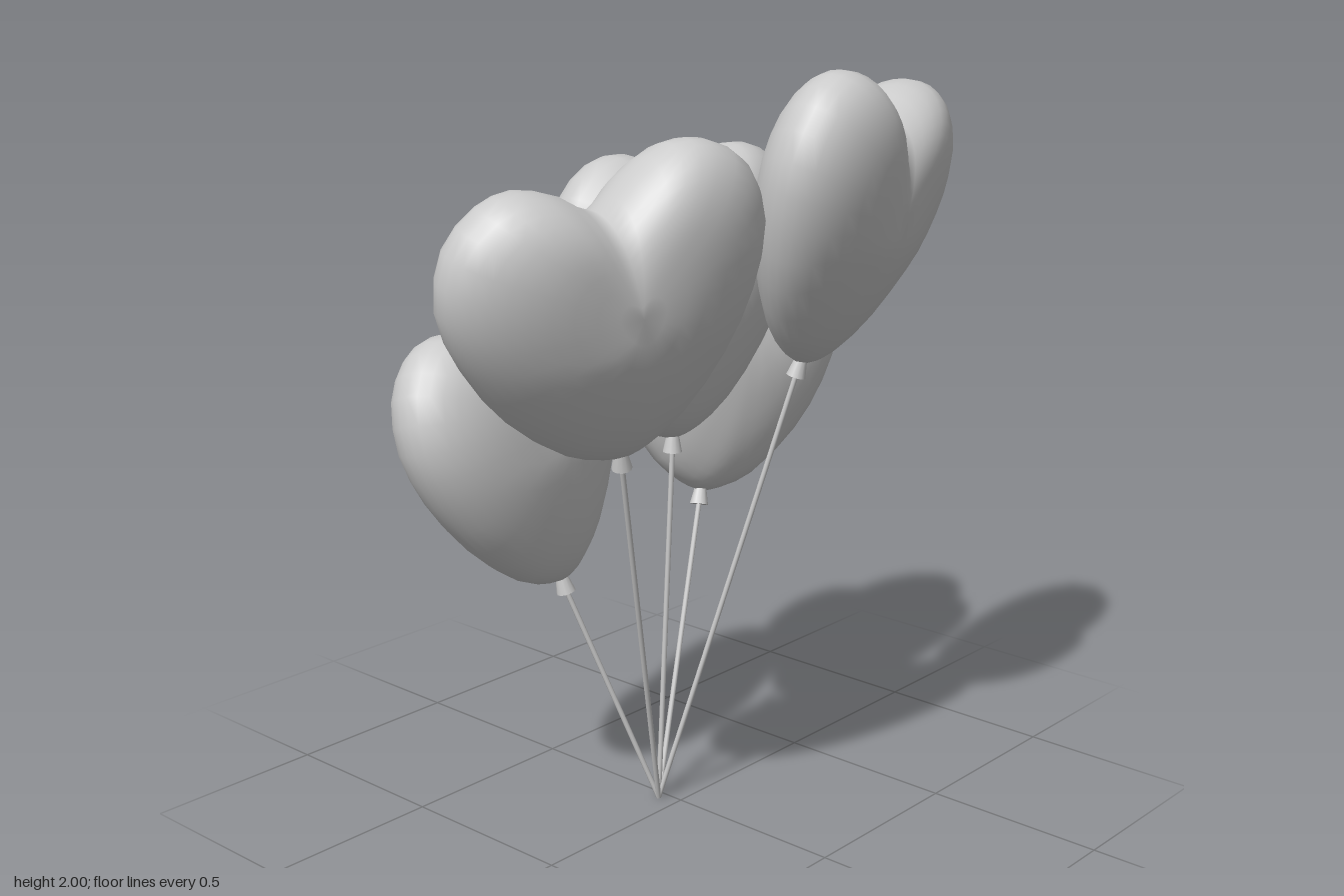
import * as THREE from 'three';

const material = new THREE.MeshStandardMaterial({ color: 0xcccccc });
const TIE = new THREE.Vector3(-0.055, 0, 0.03);

// Right half of the heart outline, tip at the origin, notch last
const HALF = [[0.06, 0.008], [0.16, 0.06], [0.295, 0.2], [0.385, 0.36], [0.427, 0.52],
  [0.39, 0.66], [0.295, 0.738], [0.2, 0.752], [0.09, 0.705]];

// Puffed heart: outline rings shrinking towards the middle of each side
function heartGeometry(around = 40, rings = 22) {
  const outline = [[0, -0.005], ...HALF, [0, 0.64], ...HALF.map(([x, y]) => [-x, y]).reverse()];
  const curve = new THREE.CatmullRomCurve3(outline.map(([x, y]) => new THREE.Vector3(x, y, 0)), true);
  const cy = 0.44;
  const positions = [], index = [];
  for (let i = 0; i <= rings; i++) {
    const phi = (i / rings) * Math.PI;
    const s = Math.sin(phi);
    for (let j = 0; j < around; j++) {
      const p = curve.getPoint(j / around);
      const x = p.x * s, y = cy + (p.y - cy) * s;
      // Thinner towards the tip, with a shallow valley below the notch
      const taper = 0.75 + 0.25 * Math.min(1, Math.max(0, y) / 0.35);
      const valley = 1 - 0.15 * Math.exp(-((x / 0.12) ** 2)) * THREE.MathUtils.smoothstep(y, 0.35, 0.6);
      const dome = Math.sqrt(Math.max(0, 1 - s ** 2.6));
      positions.push(x, y, Math.sign(rings / 2 - i) * 0.172 * dome * taper * valley);
    }
  }
  for (let i = 0; i < rings; i++) {
    for (let j = 0; j < around; j++) {
      const a = i * around + j, b = i * around + (j + 1) % around;
      const c = a + around, d = b + around;
      if (i > 0) index.push(a, c, b);
      if (i < rings - 1) index.push(b, c, d);
    }
  }
  const geometry = new THREE.BufferGeometry();
  geometry.setAttribute('position', new THREE.Float32BufferAttribute(positions, 3));
  geometry.setIndex(index);
  geometry.computeVertexNormals();
  // The pole vertices coincide, so give them the plain side normal
  const normal = geometry.attributes.normal;
  for (let j = 0; j < around; j++) {
    normal.setXYZ(j, 0, 0, 1);
    normal.setXYZ(rings * around + j, 0, 0, -1);
  }
  return geometry;
}

function part(name, geometry) {
  const mesh = new THREE.Mesh(geometry, material);
  mesh.name = name;
  return mesh;
}

// Straight string between two points
function makeString(from, to) {
  const dir = to.clone().sub(from);
  const mesh = part('string', new THREE.CylinderGeometry(0.007, 0.007, dir.length(), 8));
  mesh.position.copy(from).addScaledVector(dir, 0.5);
  mesh.quaternion.setFromUnitVectors(new THREE.Vector3(0, 1, 0), dir.normalize());
  return mesh;
}

// tip: lowest point of the heart, lean: x and z tilt, facing: x and z of the lobe direction
const BALLOONS = [
  { name: 'centreBalloon', tip: [-0.055, 1.025, -0.03], lean: [0, -0.03], facing: [0, 1] },
  { name: 'frontLeftBalloon', tip: [0.13, 1.1, 0.365], lean: [0.155, 0.26], facing: [-0.26, 0.83] },
  { name: 'backLeftBalloon', tip: [0.217, 1.237, -0.223], lean: [0.2, -0.2], facing: [0.22, 0.83] },
  { name: 'backRightBalloon', tip: [-0.215, 0.775, -0.325], lean: [-0.18, -0.36], facing: [-0.2, 0.83] },
  { name: 'frontRightBalloon', tip: [-0.222, 0.658, 0.225], lean: [-0.18, 0.19], facing: [0.22, 0.83] },
];

export function createModel() {
  const model = new THREE.Group();
  model.name = 'heartBalloons';
  const heart = heartGeometry();
  const knot = new THREE.CylinderGeometry(0.016, 0.026, 0.05, 12);

  for (const { name, tip, lean, facing } of BALLOONS) {
    const up = new THREE.Vector3(lean[0], 1, lean[1]);
    const side = new THREE.Vector3(facing[0], -(facing[0] * lean[0] + facing[1] * lean[1]), facing[1]);
    up.normalize();
    side.normalize();
    const balloon = new THREE.Group();
    balloon.name = name;
    balloon.position.set(...tip);
    balloon.quaternion.setFromRotationMatrix(
      new THREE.Matrix4().makeBasis(side, up, side.clone().cross(up)));
    const knotMesh = part('knot', knot);
    knotMesh.position.y = -0.02;
    balloon.add(part('heart', heart), knotMesh);
    model.add(balloon, makeString(TIE, new THREE.Vector3(...tip).addScaledVector(up, -0.03)));
  }
  return model;
}
